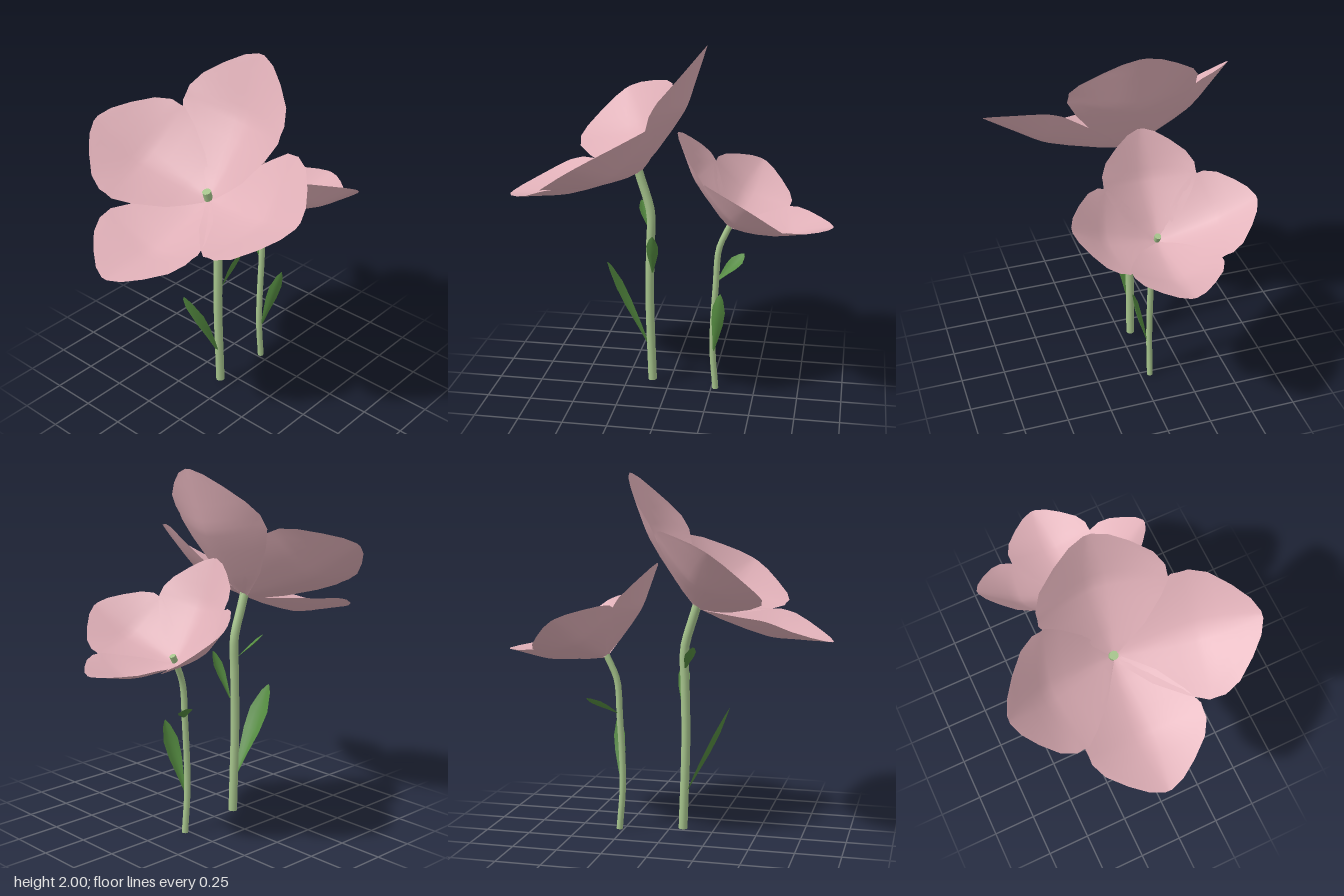
import * as THREE from 'three';

const V = (x, y, z) => new THREE.Vector3(x, y, z);
const pink = new THREE.MeshStandardMaterial({ name: 'petalPink', color: 0xe0b0b8, side: THREE.DoubleSide });
const stemGreen = new THREE.MeshStandardMaterial({ name: 'stemGreen', color: 0xa6c48c });
const leafGreen = new THREE.MeshStandardMaterial({ name: 'leafGreen', color: 0x558c41, side: THREE.DoubleSide });

// Cross-sections as fractions of length: [along, half width, midline height, edge height]
const PETAL = [
  [0, 0.03, 0, 0], [0.1, 0.14, -0.02, 0.01], [0.2, 0.24, -0.04, 0.03], [0.4, 0.37, -0.065, 0.06],
  [0.53, 0.43, -0.075, 0.08], [0.58, 0.425, -0.074, 0.08], [0.64, 0.425, -0.067, 0.075], [0.75, 0.37, -0.046, 0.05],
  [0.87, 0.245, -0.025, 0.025], [0.96, 0.125, -0.008, 0.008], [1, 0.025, 0, 0],
];
const LEAF = [
  [0, 0.12, 0, 0], [0.25, 0.5, -0.015, 0.01], [0.5, 0.9, -0.03, 0.01],
  [0.72, 1, -0.03, 0.01], [0.92, 0.5, -0.01, 0.005], [1, 0.06, 0, 0],
];

// Cupped blade running from base to tip, with its inner face towards "up"
function blade(name, sections, base, tip, up, width, columns, material) {
  const dir = tip.clone().sub(base);
  const length = dir.length();
  dir.normalize();
  const normal = up.clone().addScaledVector(dir, -up.dot(dir)).normalize();
  const side = normal.clone().cross(dir);
  const positions = [], index = [];
  sections.forEach(([along, half, mid, edge], row) => {
    for (let i = 0; i <= columns; i++) {
      const t = (i / columns) * 2 - 1;
      const height = mid + (edge - mid) * Math.abs(t) ** 1.4;
      const p = base.clone().addScaledVector(dir, along * length)
        .addScaledVector(side, t * half * width).addScaledVector(normal, height * length);
      positions.push(p.x, p.y, p.z);
      if (row && i) {
        const d = row * (columns + 1) + i, c = d - 1, b = d - columns - 1, a = b - 1;
        index.push(a, b, d, a, d, c);
      }
    }
  });
  const geometry = new THREE.BufferGeometry();
  geometry.setAttribute('position', new THREE.Float32BufferAttribute(positions, 3));
  geometry.setIndex(index);
  geometry.computeVertexNormals();
  const mesh = new THREE.Mesh(geometry, material);
  mesh.name = name;
  return mesh;
}

// Bent stem with closed ends
function makeStem(points, radius) {
  const group = new THREE.Group();
  group.name = 'stem';
  const curve = new THREE.CatmullRomCurve3(points);
  const tube = new THREE.Mesh(new THREE.TubeGeometry(curve, 24, radius, 10), stemGreen);
  tube.name = 'stemTube';
  group.add(tube);
  for (const end of [0, 1]) {
    const cap = new THREE.Mesh(new THREE.CircleGeometry(radius, 10), stemGreen);
    cap.name = end ? 'stemTop' : 'stemBottom';
    cap.position.copy(curve.getPoint(end));
    const out = curve.getTangent(end).multiplyScalar(end ? 1 : -1);
    cap.quaternion.setFromUnitVectors(V(0, 0, 1), out);
    group.add(cap);
  }
  return group;
}

function makeFlower({ name, stem, radius, center, up, tips, leaves }) {
  const group = new THREE.Group();
  group.name = name;
  group.add(makeStem(stem, radius));
  for (const [petalName, tip] of Object.entries(tips)) {
    group.add(blade(petalName, PETAL, center, tip, up, tip.distanceTo(center), 12, pink));
  }
  leaves.forEach(([base, tip, leafUp, width], i) =>
    group.add(blade('leaf' + (i + 1), LEAF, base, tip, leafUp, width, 4, leafGreen)));
  return group;
}

export function createModel() {
  const model = new THREE.Group();
  model.name = 'flowers';
  model.add(makeFlower({
    name: 'tallFlower',
    stem: [V(-0.095, 0.03, -0.055), V(-0.11, 0.55, -0.055), V(-0.105, 0.85, -0.055),
      V(-0.102, 1.05, -0.055), V(-0.15, 1.22, -0.06), V(-0.185, 1.33, -0.06)],
    radius: 0.025,
    center: V(-0.17, 1.28, -0.06),
    up: V(-0.52, 0.85, 0),
    tips: {
      rightPetal: V(-0.915, 1.12, -0.09),
      leftPetal: V(0.21, 2, -0.02),
      frontPetal: V(-0.36, 1.49, 0.7),
      backPetal: V(-0.36, 1.62, -0.71),
    },
    leaves: [
      [V(-0.115, 0.24, -0.055), V(-0.36, 0.735, -0.075), V(1, 0.5, 0), 0.07],
      [V(-0.09, 0.7, -0.035), V(-0.07, 0.955, 0.085), V(0, 0.4, -1), 0.034],
      [V(-0.11, 0.94, -0.07), V(-0.18, 1.08, -0.2), V(0.6, 1, 0.6), 0.032],
    ],
  }));
  model.add(makeFlower({
    name: 'shortFlower',
    stem: [V(0.275, 0, -0.055), V(0.255, 0.27, -0.055), V(0.27, 0.65, -0.055),
      V(0.285, 0.86, -0.055), V(0.325, 0.96, -0.06), V(0.36, 1.03, -0.06)],
    radius: 0.018,
    center: V(0.345, 0.99, -0.06),
    up: V(0.5, 0.87, 0),
    tips: {
      leftPetal: V(0.91, 1.02, -0.06),
      rightPetal: V(0.05, 1.515, -0.06),
      frontPetal: V(0.48, 1.25, 0.44),
      backPetal: V(0.48, 1.25, -0.56),
    },
    leaves: [
      [V(0.262, 0.24, -0.04), V(0.31, 0.635, 0.065), V(0.5, 0.3, -1), 0.042],
      [V(0.28, 0.67, -0.06), V(0.41, 0.78, -0.22), V(0, 1, 0.5), 0.04],
    ],
  }));
  return model;
}
